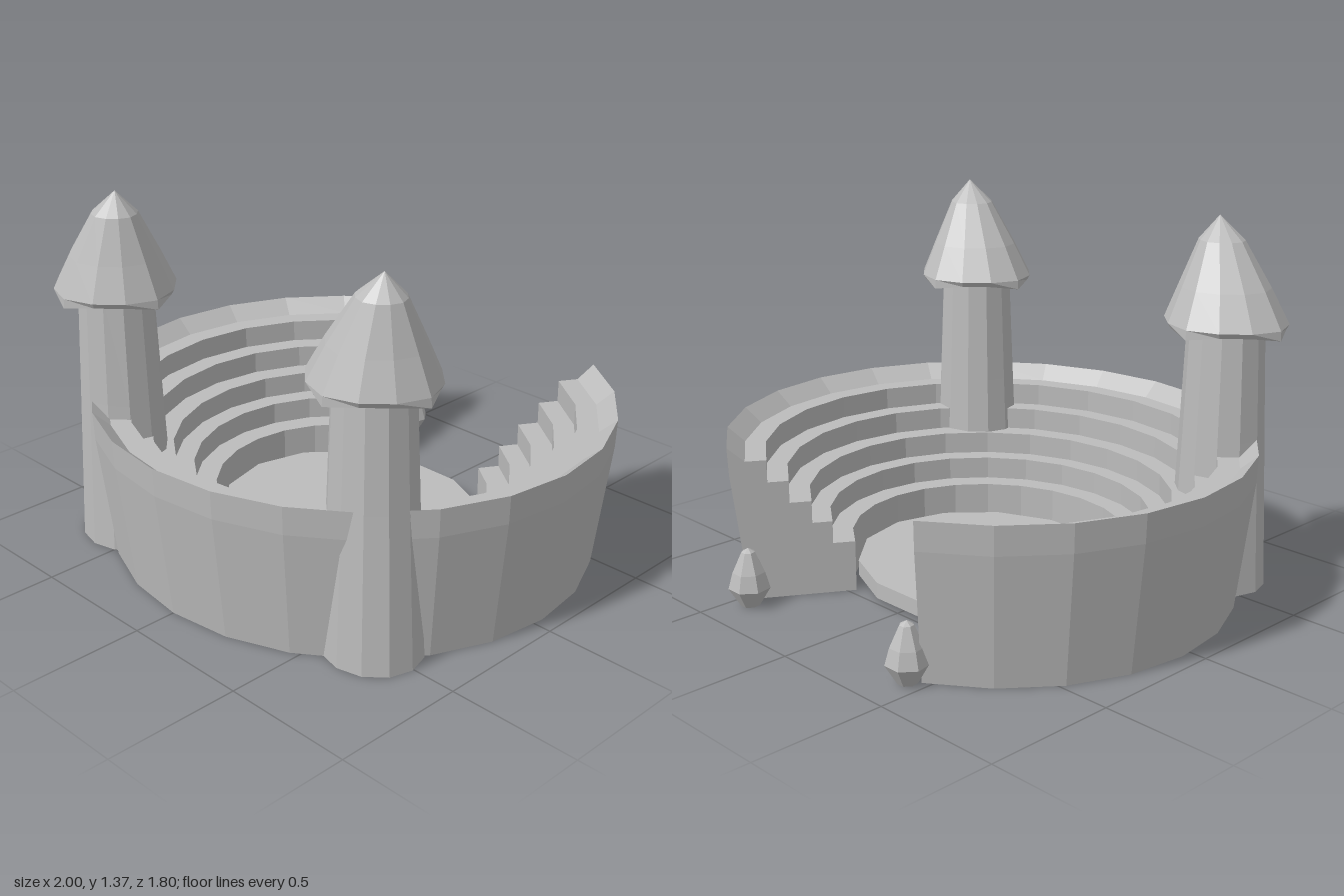
import * as THREE from 'three';

const DEPTH = 0.94; // the plan is slightly squashed front to back
const CENTRE_Z = -0.04;
const stone = new THREE.MeshStandardMaterial({ color: 0xbcbcbc, side: THREE.DoubleSide });
stone.name = 'grey stone';

const points = (list) => list.map(([r, y]) => new THREE.Vector2(r, y));

function flat(geometry) {
  const g = geometry.toNonIndexed();
  g.computeVertexNormals();
  return g;
}

function add(parent, name, geometry) {
  const mesh = new THREE.Mesh(geometry, stone);
  mesh.name = name;
  parent.add(mesh);
  return mesh;
}

// Open ring of tiered seating with a gap at the back
function createArena() {
  const arena = new THREE.Group();
  arena.name = 'arena';
  arena.position.z = CENTRE_Z;
  const end = THREE.MathUtils.degToRad(150);
  const ring = (list) => flat(new THREE.LatheGeometry(points(list), 20, -end, 2 * end).scale(1, 1, DEPTH));

  // the rim slopes down inwards to the top tier
  const outer = [[0.935, 0], [0.995, 0.48], [1, 0.585], [0.935, 0.53], [0.855, 0.53]];
  const radii = [0.855, 0.775, 0.692, 0.615, 0.53];
  const heights = [0.53, 0.446, 0.362, 0.278, 0.193, 0];
  const steps = [];
  radii.forEach((r, i) => steps.push([r, heights[i]], [r, heights[i + 1]]));

  add(arena, 'outerWall', ring(outer));
  add(arena, 'seatingSteps', ring(steps));
  add(arena, 'wallBase', ring([[0.53, 0], [0.935, 0]]));

  // End faces beside the gap
  const section = new THREE.Shape(points([...outer, ...steps.slice(1)]));
  for (const side of [-1, 1]) {
    const cap = new THREE.ShapeGeometry(section).rotateY(-end - Math.PI / 2).scale(1, 1, DEPTH);
    if (side > 0) {
      cap.scale(-1, 1, 1);
      cap.index.array.reverse();
      cap.computeVertexNormals();
    }
    add(arena, side < 0 ? 'rightEndFace' : 'leftEndFace', cap);
  }

  const floor = new THREE.CylinderGeometry(0.53, 0.53, 0.06, 14, 1, false, Math.PI / 14);
  floor.scale(1, 1, 0.467 / 0.53).translate(0, 0.05, 0);
  add(arena, 'floor', flat(floor));
  return arena;
}

// Tower: open tapered column with a leaning pointed roof
function createTower(name, x, z) {
  const tower = new THREE.Group();
  tower.name = name;
  tower.position.set(x, 0, z);

  const column = new THREE.LatheGeometry(points([[0.187, 0], [0.162, 0.58], [0.145, 1]]), 12);
  add(tower, 'column', flat(column.scale(1, 1, 0.9)));

  const roof = new THREE.LatheGeometry(points([
    [0.13, 1], [0.243, 0.965], [0.241, 1], [0.178, 1.125], [0.09, 1.285], [0, 1.37],
  ]), 12);
  const p = roof.attributes.position;
  for (let i = 0; i < p.count; i++) {
    const y = p.getY(i);
    const swing = Math.sin(2 * Math.atan2(p.getX(i), p.getZ(i)));
    const wave = swing * swing;
    // the eaves rise and tuck in on the diagonals, and the tip leans away
    const hem = y < 0.97;
    const tuck = 1 - (hem ? 0.13 : 0.06) * wave;
    const lean = 0.07 * Math.pow(Math.max(0, (y - 1) / 0.37), 1.3);
    p.setXYZ(
      i,
      p.getX(i) * tuck + lean,
      y + (hem ? 0.022 * wave : 0),
      p.getZ(i) * tuck * DEPTH + lean * 0.45,
    );
  }
  add(tower, 'roof', flat(roof));
  return tower;
}

export function createModel() {
  const model = new THREE.Group();
  model.name = 'amphitheatre';
  model.add(createArena());
  model.add(createTower('rightTower', -0.592, 0.57));
  model.add(createTower('leftTower', 0.642, 0.505));

  // Bud-shaped ornaments at the entrance
  const bud = flat(new THREE.LatheGeometry(points([
    [0, 0], [0.035, 0], [0.077, 0.07], [0.06, 0.13], [0.025, 0.205], [0, 0.22],
  ]), 7));
  for (const side of [-1, 1]) {
    add(model, side < 0 ? 'rightOrnament' : 'leftOrnament', bud).position.set(side * 0.432, 0, -0.83);
  }
  return model;
}
